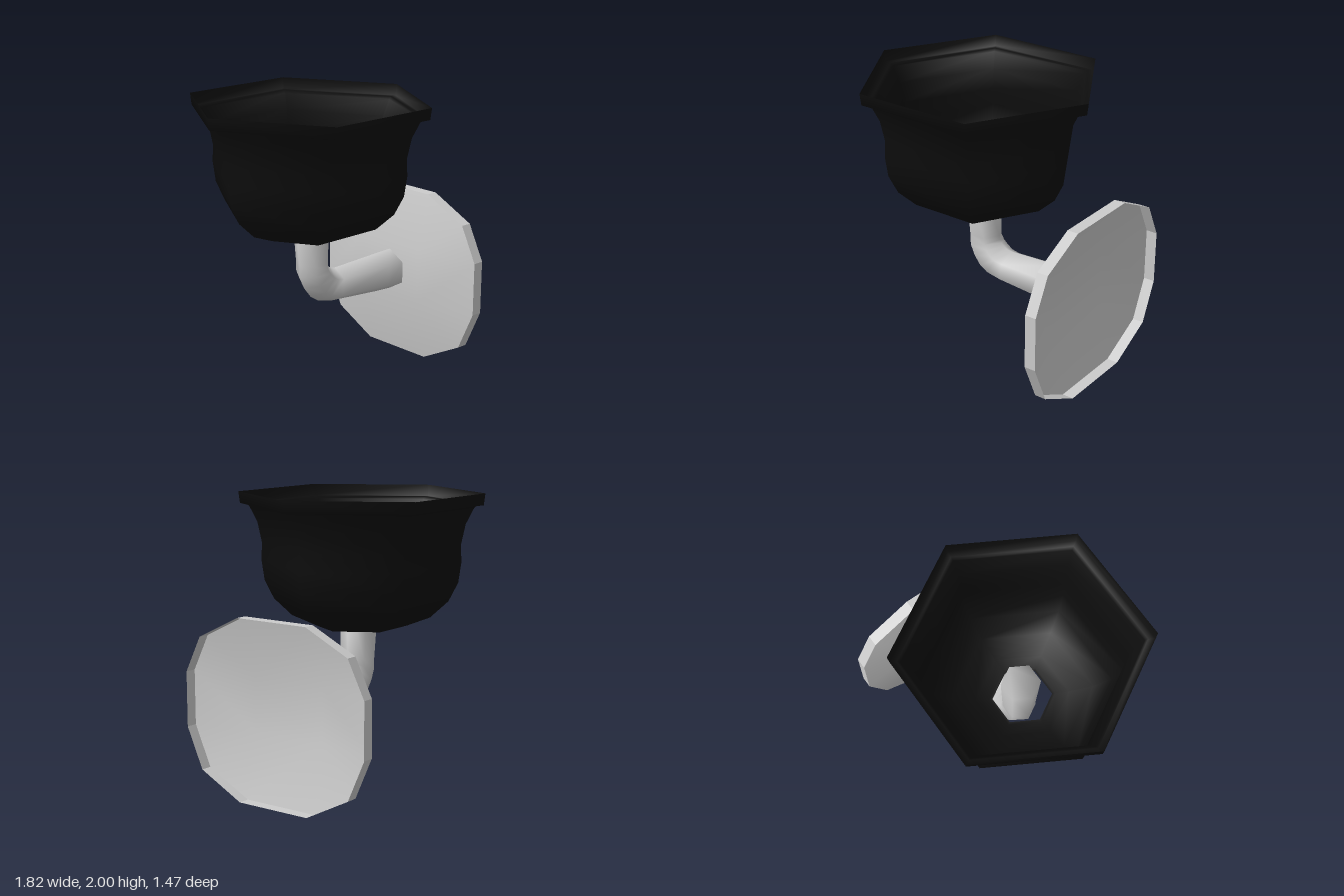
import * as THREE from 'three';
import { toCreasedNormals } from 'three/addons/utils/BufferGeometryUtils.js';

// Skin between rings of equal point count, with optional flat caps
function loft(rings, capStart, capEnd) {
  const n = rings[0].length;
  const points = rings.flat();
  const index = [];
  for (let i = 0; i < rings.length - 1; i++) {
    for (let j = 0; j < n; j++) {
      const a = i * n + j, b = i * n + (j + 1) % n;
      index.push(a, b, a + n, b, b + n, a + n);
    }
  }
  const last = (rings.length - 1) * n;
  for (let j = 1; j < n - 1; j++) {
    if (capStart) index.push(0, j + 1, j);
    if (capEnd) index.push(last, last + j, last + j + 1);
  }
  const geometry = new THREE.BufferGeometry().setFromPoints(points);
  geometry.setIndex(index);
  geometry.computeVertexNormals();
  return geometry;
}

export function createModel() {
  const group = new THREE.Group();
  const grey = new THREE.MeshStandardMaterial({ color: 0xcccccc, side: THREE.DoubleSide });
  const black = new THREE.MeshStandardMaterial({ color: 0x0d0d0d, side: THREE.DoubleSide });
  const add = (name, geometry, material) => {
    const mesh = new THREE.Mesh(geometry, material);
    mesh.name = name;
    group.add(mesh);
    return mesh;
  };

  // Six-sided open shade with a flared rim and a hole in the bottom
  const profile = [
    [0.205, 1.07], [0.225, 1.07], [0.32, 1.085], [0.48, 1.145], [0.605, 1.26],
    [0.67, 1.39], [0.69, 1.53], [0.685, 1.65], [0.715, 1.79], [0.77, 1.9],
    [0.79, 1.92], [0.835, 1.92], [0.845, 2],
  ].map(([r, y]) => new THREE.Vector2(r, y));
  const shade = add('shade', new THREE.LatheGeometry(profile, 6, Math.PI / 2), black);
  shade.position.x = -0.065;

  // Bent six-sided arm: each row is an outer and an inner point of the bend
  const bend = [
    [-0.183, 1.3, 0.088, 1.3], [-0.145, 0.86, 0.088, 0.86], [-0.14, 0.77, 0.09, 0.83],
    [-0.1, 0.68, 0.105, 0.81], [-0.04, 0.605, 0.13, 0.79], [0.03, 0.56, 0.155, 0.775],
    [0.16, 0.53, 0.19, 0.77], [0.6, 0.495, 0.61, 0.787], [0.74, 0.487, 0.74, 0.79],
  ];
  const armRings = bend.map(([ox, oy, ix, iy]) => {
    const cx = (ox + ix) / 2, cy = (oy + iy) / 2;
    const ux = (ix - ox) / 2, uy = (iy - oy) / 2;
    const r = Math.hypot(ux, uy);
    return Array.from({ length: 6 }, (_, k) => {
      const t = k * Math.PI / 3;
      return new THREE.Vector3(cx + ux * Math.cos(t), cy + uy * Math.cos(t), r * Math.sin(t));
    });
  });
  add('arm', loft(armRings, true, false), grey);

  // Dished wall plate, hollow at the back
  const half = [[0.28, 1.24], [0.61, 1.08], [0.735, 0.83], [0.735, 0.45], [0.61, 0.17], [0.28, 0]];
  const outline = [...half, ...half.map(([z, y]) => [-z, y]).reverse()];
  const rim = (x) => outline.map(([z, y]) => new THREE.Vector3(x, y, z));
  const centre = rim(0.74).map((p) => p.clamp(
    new THREE.Vector3(0.74, 0.45, -0.28), new THREE.Vector3(0.74, 0.83, 0.28)));
  const plate = loft([centre, rim(0.83), rim(0.91)], true, false);
  add('wallPlate', toCreasedNormals(plate, 0.4), grey);

  return group;
}
